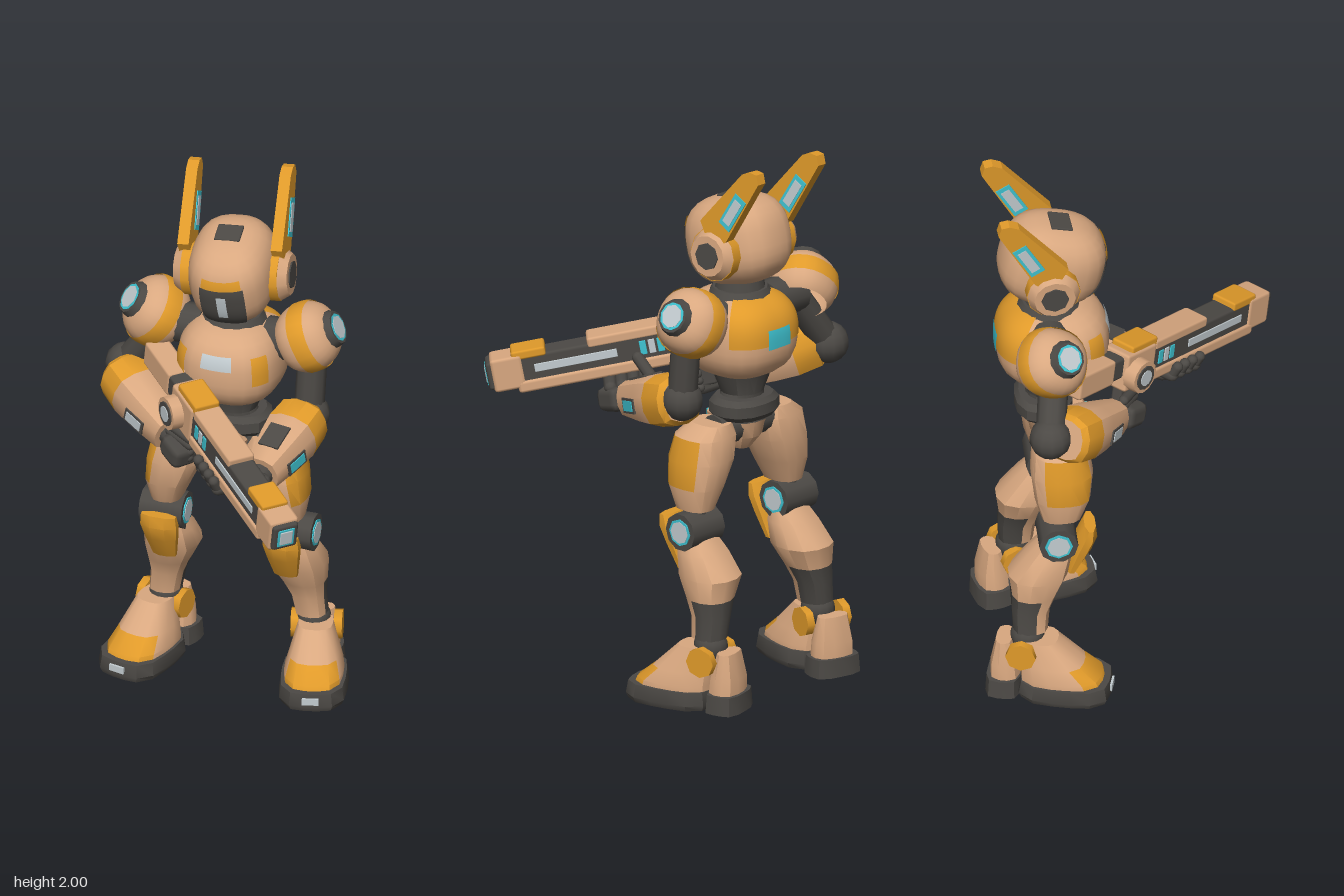
import * as THREE from 'three';
import { toCreasedNormals } from 'three/addons/utils/BufferGeometryUtils.js';
import { RoundedBoxGeometry } from 'three/addons/geometries/RoundedBoxGeometry.js';

const mat = (name, color) => {
  const m = new THREE.MeshStandardMaterial({ color, side: THREE.DoubleSide });
  m.name = name;
  return m;
};
const PI = Math.PI;

export function createModel() {
  const tan = mat('tan armour', 0xd9a880), orange = mat('orange armour', 0xe09a2a);
  const dark = mat('dark joints', 0x4c4945), pale = mat('pale glass', 0xc3ccd0), teal = mat('teal glass', 0x3fc4d2);
  const model = new THREE.Group();
  model.name = 'robot';

  const add = (parent, name, geo, m, x = 0, y = 0, z = 0) => {
    const mesh = new THREE.Mesh(geo, m);
    mesh.name = name;
    mesh.position.set(x, y, z);
    parent.add(mesh);
    return mesh;
  };
  const group = (parent, name, x = 0, y = 0, z = 0) => {
    const g = new THREE.Group();
    g.name = name;
    g.position.set(x, y, z);
    parent.add(g);
    return g;
  };
  // chamfered block and thin plate
  const block = (w, h, d, r = 0.012) => new RoundedBoxGeometry(w, h, d, 1, r);
  const box = (w, h, d) => new THREE.BoxGeometry(w, h, d);
  // cylinder lying along x
  const disc = (r0, r1, len, n = 12) => new THREE.CylinderGeometry(r1, r0, len, n).rotateZ(-PI / 2);

  // superellipsoid, or a patch of one, with exact normals
  const blob = (p, rx, ry, rz, ph = 0, phl = 2 * PI, th = 0, thl = PI) => {
    const g = new THREE.SphereGeometry(1, 24, 18, ph, phl, th, thl);
    const pos = g.attributes.position, nor = g.attributes.normal, v = new THREE.Vector3();
    const pw = (a) => Math.sign(a) * Math.abs(a) ** (p - 1);
    for (let i = 0; i < pos.count; i++) {
      v.fromBufferAttribute(pos, i);
      v.multiplyScalar((Math.abs(v.x) ** p + Math.abs(v.y) ** p + Math.abs(v.z) ** p) ** (-1 / p));
      pos.setXYZ(i, v.x * rx, v.y * ry, v.z * rz);
      v.set(pw(v.x) / rx, pw(v.y) / ry, pw(v.z) / rz).normalize();
      nor.setXYZ(i, v.x, v.y, v.z);
    }
    return g;
  };

  // stacked cross-sections [y, cx, cz, rx, rz]; paint(ring, cos, sin) picks a material index
  const loft = (rings, n = 12, p = 3, paint = () => 0) => {
    const out = [[], []];
    const at = ([y, cx, cz, rx, rz], j) => {
      const a = ((j + 0.5) / n) * 2 * PI, c = Math.cos(a), s = Math.sin(a);
      const k = (Math.abs(c) ** p + Math.abs(s) ** p) ** (-1 / p);
      return [cx + rx * c * k, y, cz + rz * s * k];
    };
    const last = rings.length - 1, lo = rings[0], hi = rings[last];
    for (let j = 0; j < n; j++) {
      const m = ((j + 1) / n) * 2 * PI;
      for (let i = 0; i < last; i++) {
        const a = at(rings[i], j), b = at(rings[i], j + 1), c = at(rings[i + 1], j + 1), d = at(rings[i + 1], j);
        out[paint(i, Math.cos(m), Math.sin(m))].push(...a, ...d, ...c, ...a, ...c, ...b);
      }
      out[0].push(lo[1], lo[0], lo[2], ...at(lo, j), ...at(lo, j + 1));
      out[0].push(hi[1], hi[0], hi[2], ...at(hi, j + 1), ...at(hi, j));
    }
    const g = new THREE.BufferGeometry();
    g.setAttribute('position', new THREE.Float32BufferAttribute(out.flat(), 3));
    g.addGroup(0, out[0].length / 3, 0);
    if (out[1].length) g.addGroup(out[0].length / 3, out[1].length / 3, 1);
    return toCreasedNormals(g, 0.6);
  };
  // rod between two points
  const rod = (parent, name, a, b, r, m) => {
    const A = new THREE.Vector3(...a), B = new THREE.Vector3(...b), d = B.clone().sub(A);
    const mesh = add(parent, name, new THREE.CapsuleGeometry(r, d.length(), 3, 10), m);
    mesh.position.copy(A).add(B).multiplyScalar(0.5);
    mesh.quaternion.setFromUnitVectors(new THREE.Vector3(0, 1, 0), d.normalize());
  };

  // head, turned and tipped a little
  const headPivot = group(model, 'head', 0, 1.6, -0.29);
  headPivot.rotation.set(0, 0.08, 0.06);
  const head = group(headPivot, 'headParts', 0, -1.6, 0.29);
  const skull = group(head, 'skull', 0.003, 1.667, -0.282);
  skull.rotation.x = 0.25;
  const facePatch = (name, m, k, half, t0, t1) =>
    add(skull, name, blob(2.6, 0.153 * k, 0.165 * k, 0.19 * k, PI / 2 - half, 2 * half, t0, t1 - t0), m);
  add(skull, 'helmet', blob(2.6, 0.153, 0.165, 0.19), tan);
  facePatch('visor', dark, 1.025, 0.52, 1.22, 2.4);
  facePatch('visorGlow', pale, 1.045, 0.11, 1.36, 1.92);
  facePatch('brow', orange, 1.025, 0.48, 1.02, 1.22);
  add(skull, 'crownPlate', block(0.095, 0.012, 0.08, 0.005), dark, 0, 0.163, -0.01);
  const fin = new THREE.Shape([[-0.255, 1.765], [-0.31, 1.66], [-0.375, 1.71], [-0.51, 1.95], [-0.5, 1.985], [-0.47, 1.99], [-0.435, 1.975]]
    .map((q) => new THREE.Vector2(...q)));
  for (const s of [-1, 1]) {
    add(head, 'earRing', disc(0.098, 0.098, 0.04), orange, s * 0.158, 1.645, -0.305);
    const cup = add(head, 'earCup', disc(0.098, 0.075, 0.035), tan, s * 0.192, 1.645, -0.305);
    cup.rotation.y = s < 0 ? PI : 0;
    add(head, 'earCap', disc(0.05, 0.05, 0.008, 8), dark, s * 0.211, 1.645, -0.305);
    const finGeo = new THREE.ExtrudeGeometry(fin, { depth: 0.042, bevelEnabled: false }).translate(0, 0, -0.021).rotateY(-PI / 2);
    add(head, 'antenna', finGeo, orange, s * 0.172, 0, 0);
    for (const [m, w, h, o, name] of [[teal, 0.056, 0.14, 0.022, 'antennaPanel'], [pale, 0.034, 0.105, 0.024, 'antennaGlass']])
      for (const t of [-1, 1]) add(head, name, box(0.005, h, w), m, s * 0.172 + t * o, 1.825, -0.4).rotation.x = -0.53;
  }

  // torso
  add(model, 'neck', new THREE.CylinderGeometry(0.08, 0.11, 0.16, 14), dark, 0, 1.465, -0.29);
  const chest = group(model, 'chest', 0, 1.32, -0.28);
  const chestPatch = (name, m, k, mid, half, t0, t1) =>
    add(chest, name, blob(2.6, 0.19 * k, 0.163 * k, 0.203 * k, mid - half, 2 * half, t0, t1 - t0), m);
  add(chest, 'chestShell', blob(2.6, 0.19, 0.163, 0.203), tan);
  chestPatch('chestPanel', pale, 1.02, PI / 2, 0.3, 1.05, 1.36);
  chestPatch('backPlate', orange, 1.015, 1.5 * PI, 1.0, 0.45, 1.6);
  chestPatch('backPanel', teal, 1.025, 1.5 * PI, 0.28, 1.26, 1.68);
  for (const s of [-1, 1]) chestPatch('chestSidePatch', orange, 1.02, PI / 2 - s * 0.82, 0.16, 1.1, 1.7);
  add(chest, 'collar', new THREE.CylinderGeometry(0.1, 0.125, 0.04, 14), dark, 0, 0.15, -0.01);
  add(model, 'waist', loft([[1.0, 0, -0.3, 0.11, 0.09], [1.1, 0, -0.3, 0.08, 0.075], [1.2, 0, -0.3, 0.12, 0.11]], 16, 2), dark);
  add(model, 'belt', loft([[1.01, 0, -0.31, 0.11, 0.09], [1.03, 0, -0.31, 0.13, 0.105], [1.07, 0, -0.31, 0.13, 0.105], [1.09, 0, -0.31, 0.11, 0.09]], 14, 2.5), dark);
  add(model, 'pelvis', loft([[0.88, 0, -0.27, 0.035, 0.05], [0.93, 0, -0.265, 0.065, 0.095], [1.0, 0, -0.265, 0.08, 0.11], [1.03, 0, -0.265, 0.065, 0.095]], 12, 3), tan, -0.01);
  add(model, 'pelvisPanel', box(0.08, 0.035, 0.008), teal, -0.012, 0.98, -0.156);
  add(model, 'hipJoint', disc(0.06, 0.06, 0.3), dark, -0.015, 0.97, -0.29);

  // legs, spread about a centre just off the middle
  for (const s of [-1, 1]) {
    const leg = group(model, s > 0 ? 'leftLeg' : 'rightLeg', -0.015, 0, 0);
    const side = (rings) => rings.map(([y, cx, ...r]) => [y, s * cx, ...r]);
    add(leg, 'thigh', loft(side([[0.7, 0.228, -0.27, 0.055, 0.07], [0.785, 0.217, -0.265, 0.083, 0.1], [0.88, 0.19, -0.265, 0.104, 0.112], [0.965, 0.172, -0.27, 0.104, 0.1], [1.01, 0.155, -0.28, 0.06, 0.075]]),
      16, 2.8, (i, c, z) => (i > 0 && i < 3 && c * s * 0.98 + z * 0.19 > 0.825 ? 1 : 0)), [tan, orange]);
    add(leg, 'kneeLink', new THREE.CylinderGeometry(0.045, 0.045, 0.2, 10), dark, s * 0.235, 0.65, -0.28);
    add(leg, 'kneeJoint', disc(0.07, 0.07, 0.16, 10), dark, s * 0.243, 0.632, -0.287);
    for (const t of [-1, 1]) {
      add(leg, 'kneeLensRim', disc(0.05, 0.05, 0.006, 8), teal, s * 0.243 + t * 0.081, 0.632, -0.287);
      add(leg, 'kneeLens', disc(0.041, 0.041, 0.006, 8), pale, s * 0.243 + t * 0.083, 0.632, -0.287);
    }
    add(leg, 'kneeCap', loft(side([[0.47, 0.228, -0.235, 0.042, 0.02], [0.56, 0.229, -0.2, 0.058, 0.035], [0.62, 0.23, -0.178, 0.068, 0.035], [0.665, 0.23, -0.168, 0.064, 0.02]]), 8, 5), orange);
    add(leg, 'shin', loft(side([[0.25, 0.275, -0.385, 0.057, 0.062], [0.33, 0.264, -0.383, 0.062, 0.068], [0.39, 0.254, -0.37, 0.078, 0.08], [0.47, 0.238, -0.355, 0.102, 0.106], [0.55, 0.234, -0.315, 0.087, 0.082], [0.6, 0.233, -0.295, 0.068, 0.055]]),
      12, 2.6, (i, c, z) => (i < 2 && z < 0.1 ? 1 : 0)), [tan, dark]);
    add(leg, 'ankle', new THREE.SphereGeometry(0.062, 14, 10), dark, s * 0.278, 0.22, -0.395);

    const foot = group(leg, 'foot', s * 0.308, 0, -0.32);
    foot.rotation.y = s * 0.25;
    add(foot, 'toeSole', loft([[0, 0, 0.06, 0.114, 0.16], [0.02, 0, 0.06, 0.123, 0.168], [0.068, 0, 0.06, 0.116, 0.16]], 16, 3.5), dark);
    add(foot, 'heelSole', loft([[0, 0, -0.16, 0.095, 0.065], [0.068, 0, -0.16, 0.09, 0.061]], 14, 4), dark);
    add(foot, 'toeBar', box(0.06, 0.025, 0.008), pale, 0, 0.042, 0.227);
    add(foot, 'footShell', loft([[0.06, 0, 0.05, 0.106, 0.15], [0.085, 0, 0.045, 0.106, 0.145], [0.135, 0, 0.014, 0.09, 0.114], [0.225, 0, -0.035, 0.062, 0.068]],
      16, 3, (i, c, z) => (i < 2 && z > 0.6 ? 1 : 0)), [tan, orange]);
    add(foot, 'heelShell', loft([[0.06, 0, -0.155, 0.078, 0.055], [0.12, 0, -0.158, 0.075, 0.052], [0.215, 0, -0.16, 0.058, 0.03]], 12, 3), tan);
    for (const t of [-1, 1]) add(foot, 'ankleDisc', disc(0.055, 0.055, 0.03, 8), orange, t * 0.077, 0.185, -0.09);
  }

  // shoulders and arms; each shoulder's y points to its lens, each forearm's z to the hand
  const arms = [
    { s: -1, elbow: [-0.42, 1.175, -0.325], from: [-0.41, 1.165, -0.265], to: [-0.15, 1.06, -0.06], len: 0.32, lensDir: [-0.63, 0.57, 0.45] },
    { s: 1, elbow: [0.285, 1.125, -0.275], from: [0.275, 1.115, -0.25], to: [0.212, 1.035, 0.05], len: 0.305, lensDir: [0.84, 0.42, -0.05] },
  ];
  for (const { s, elbow, from, to, len, lensDir } of arms) {
    const arm = group(model, s > 0 ? 'leftArm' : 'rightArm');
    add(arm, 'shoulderJoint', disc(0.075, 0.075, 0.16), dark, s * 0.2, 1.4, -0.3);
    const pad = group(arm, 'shoulder', s * 0.285 - 0.015, 1.42, -0.31);
    pad.quaternion.setFromUnitVectors(new THREE.Vector3(0, 1, 0), new THREE.Vector3(...lensDir).normalize());
    const shell = (name, m, k, t0, t1) => add(pad, name, blob(2.25, 0.123 * k, 0.114 * k, 0.126 * k, 0, 2 * PI, t0, t1 - t0), m);
    shell('shoulderShell', tan, 1, 0, 2.3);
    shell('shoulderBand', orange, 1.03, 1.2, 1.72);
    add(pad, 'lensRing', new THREE.CylinderGeometry(0.06, 0.07, 0.024, 12), dark, 0, 0.112, 0);
    add(pad, 'lensRim', new THREE.CylinderGeometry(0.051, 0.051, 0.006, 10), teal, 0, 0.123, 0);
    add(pad, 'lensGlass', new THREE.CylinderGeometry(0.043, 0.043, 0.006, 8), pale, 0, 0.125, 0);

    rod(arm, 'upperArm', [s * 0.29, 1.36, -0.3], elbow, 0.054, dark);
    add(arm, 'elbow', new THREE.SphereGeometry(0.076, 12, 9), dark, ...elbow);
    const fore = group(arm, 'forearm', ...from);
    fore.lookAt(...to);
    const gauntlet = loft([[-0.02, 0, 0, 0.075, 0.075], [0, 0, 0, 0.094, 0.09], [0.09, 0, 0, 0.1, 0.095], [len * 0.55, 0, 0, 0.09, 0.087], [len, 0, 0, 0.064, 0.066]],
      12, 2.8, (i) => (i < 2 ? 1 : 0)).rotateX(PI / 2);
    add(fore, 'gauntlet', gauntlet, [tan, orange]);
    if (s > 0) add(fore, 'gauntletPatch', box(0.08, 0.008, 0.1), dark, 0, 0.084, len * 0.63).rotation.x = 0.15;
    add(fore, 'gauntletFrame', box(0.008, 0.055, 0.095), dark, s * 0.084, -0.01, len * 0.66).rotation.y = -s * 0.18;
    add(fore, 'gauntletPanel', box(0.008, 0.038, 0.075), s > 0 ? teal : pale, s * 0.087, -0.01, len * 0.66).rotation.y = -s * 0.18;
    add(fore, 'wrist', new THREE.CylinderGeometry(0.045, 0.045, 0.05, 10).rotateX(PI / 2), dark, 0, 0, len + 0.01);
    add(fore, 'palm', block(0.11, 0.09, 0.12, 0.028), dark, s * 0.01, 0, len + 0.08);
  }

  // gun, held across the body; its z runs to the muzzle
  const gun = group(model, 'gun', -0.05, 1.22, -0.005);
  gun.lookAt(0.45, 1.085, 0.495);
  const part = (name, m, w, h, z0, z1, y = 0, x = 0) =>
    add(gun, name, block(w, h, z1 - z0, Math.min(0.012, w / 4, h / 4)), m, x, y, (z0 + z1) / 2);
  part('gunCore', dark, 0.1, 0.11, 0.05, 0.68);
  part('receiver', tan, 0.116, 0.15, -0.09, 0.075);
  part('rearTopBlock', orange, 0.1, 0.04, -0.06, 0.085, 0.077);
  part('topCover', tan, 0.104, 0.04, 0.075, 0.37, 0.057);
  part('frontTopBlock', orange, 0.104, 0.035, 0.52, 0.645, 0.06);
  part('lowerRail', tan, 0.118, 0.045, 0.07, 0.64, -0.058);
  part('muzzleBlock', tan, 0.114, 0.125, 0.61, 0.725);
  part('muzzle', dark, 0.1, 0.105, 0.715, 0.742);
  part('muzzleRim', teal, 0.066, 0.074, 0.738, 0.745);
  part('muzzleGlass', pale, 0.05, 0.058, 0.74, 0.748);
  part('stockLink', dark, 0.08, 0.085, -0.16, -0.08, 0.02);
  part('stock', tan, 0.09, 0.1, -0.34, -0.14, 0.02);
  part('gripHandle', dark, 0.045, 0.15, -0.06, 0.01, -0.12);
  add(gun, 'pivotCup', disc(0.062, 0.064, 0.05), tan, -0.075, -0.01, -0.035);
  for (const t of [-1, 1]) {
    const out = t < 0 ? -0.101 : 0.06;
    part('sideStrip', pale, 0.008, 0.03, 0.27, 0.57, 0.004, t * 0.05);
    for (let i = 0; i < 3; i++) part('ventSlat', i === 1 ? pale : teal, 0.008, 0.052, 0.1 + i * 0.032, 0.124 + i * 0.032, 0.004, t * 0.05);
    add(gun, 'pivotRing', disc(0.046, 0.046, 0.008), dark, out, -0.01, -0.035);
    add(gun, 'pivotGlass', disc(0.03, 0.03, 0.008), pale, out + t * 0.003, -0.01, -0.035);
  }
  // fingers: four under the barrel, four around the grip
  for (let i = 0; i < 4; i++) {
    const z = 0.19 + i * 0.042, y = -0.11 - i * 0.027;
    rod(gun, 'supportFinger', [0.11, -0.1, z], [-0.055, -0.095, z], 0.024, dark);
    rod(gun, 'supportFingertip', [-0.055, -0.095, z], [-0.075, -0.055, z], 0.02, dark);
    rod(gun, 'gripFinger', [-0.05, y, -0.075], [-0.02, y, 0.02], 0.019, dark);
    rod(gun, 'gripFingertip', [-0.02, y, 0.02], [0.035, y, 0.005], 0.017, dark);
  }
  rod(gun, 'supportThumb', [0.11, -0.08, 0.17], [0.08, -0.02, 0.2], 0.022, dark);
  return model;
}
